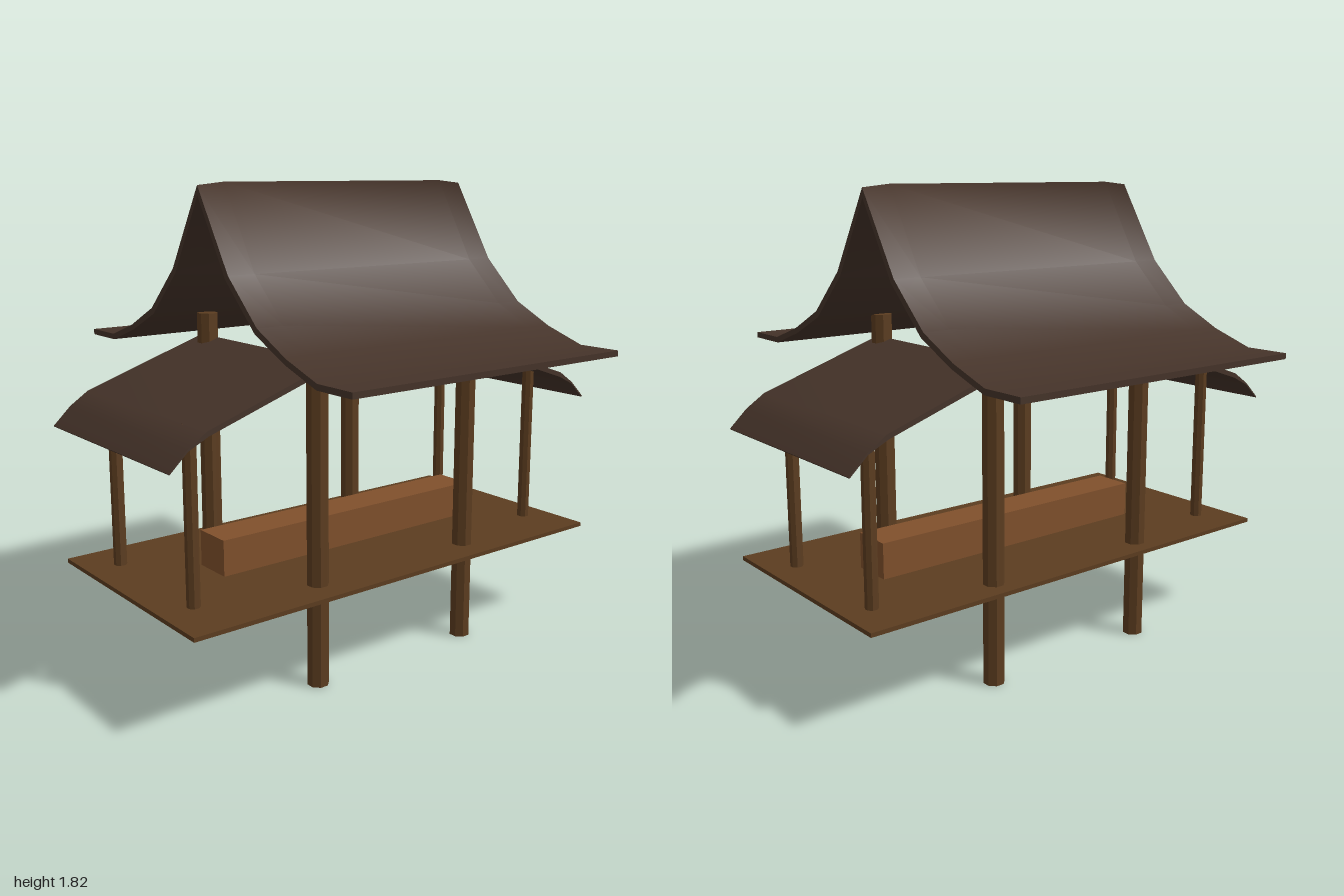
import * as THREE from 'three';
import { mergeGeometries } from 'three/addons/utils/BufferGeometryUtils.js';

// Smooth surface over a grid of points; faces along (row step) x (column step)
function sheet(rows) {
  const m = rows[0].length;
  const index = [];
  for (let i = 0; i < rows.length - 1; i++) {
    for (let j = 0; j < m - 1; j++) {
      const a = i * m + j, b = a + m;
      index.push(a, b, a + 1, b, b + 1, a + 1);
    }
  }
  const g = new THREE.BufferGeometry();
  g.setAttribute('position', new THREE.Float32BufferAttribute(rows.flat(2), 3));
  g.setIndex(index);
  g.computeVertexNormals();
  return g;
}

// Thin slab between a top grid and a bottom grid, with crisp edges
function slab(top, bottom) {
  const n = top.length - 1, m = top[0].length - 1;
  return mergeGeometries([
    sheet(top),
    sheet(bottom.map((row) => [...row].reverse())),
    sheet([bottom[0], top[0]]),
    sheet([top[n], bottom[n]]),
    sheet(top.map((row, i) => [bottom[i][0], row[0]])),
    sheet(top.map((row, i) => [row[m], bottom[i][m]])),
  ]);
}

export function createModel() {
  const model = new THREE.Group();
  model.name = 'openPavilion';

  const roofMat = new THREE.MeshStandardMaterial({ color: 0x453329 });
  roofMat.name = 'darkRoof';
  const woodMat = new THREE.MeshStandardMaterial({ color: 0x5c3d20 });
  woodMat.name = 'brownWood';
  const benchMat = new THREE.MeshStandardMaterial({ color: 0x80502c });
  benchMat.name = 'lightWood';

  function add(name, geometry, material, x = 0, y = 0, z = 0) {
    const mesh = new THREE.Mesh(geometry, material);
    mesh.name = name;
    mesh.position.set(x, y, z);
    model.add(mesh);
    return mesh;
  }

  // Floor and the long bench on it
  add('deck', new THREE.BoxGeometry(1.915, 0.016, 0.94), woodMat, -0.012, 0.382, 0.03);
  add('bench', new THREE.BoxGeometry(1.25, 0.16, 0.16), benchMat, 0.027, 0.45, 0.02);

  // Octagonal posts
  function post(name, x, z, radius, y0, y1) {
    const g = new THREE.CylinderGeometry(radius, radius, y1 - y0, 8).toNonIndexed();
    g.rotateY(Math.PI / 8);
    g.computeVertexNormals();
    add(name, g, woodMat, x, (y0 + y1) / 2, z);
  }
  for (const x of [-0.37, 0.36]) {
    for (const z of [0.372, -0.345]) post('mainPost', x, z, 0.041, 0, 1.31);
  }
  for (const x of [-0.835, 0.83]) {
    for (const z of [0.275, -0.262]) post('sidePost', x, z, 0.025, 0.385, 1.04);
  }

  // Main roof: curved slopes on both sides of a ridge that dips at its ends
  const slopeTop = [[0.86, 1.208], [0.685, 1.208], [0.52, 1.264], [0.356, 1.345], [0.186, 1.507], [0, 1.82]];
  const slopeBottom = [[0.86, 1.186], [0.682, 1.186], [0.512, 1.244], [0.343, 1.324], [0.168, 1.492], [0, 1.785]];
  const bothSides = (half) => [...half, ...half.slice(0, -1).reverse().map(([z, y]) => [-z, y])];
  const stations = [-0.61, -0.5, 0.55, 0.66];
  const roofGrid = (half) => stations.map((x, i) => bothSides(half).map(([z, y]) => {
    const dip = z === 0 && (i === 0 || i === 3) ? 0.011 : 0;
    return [x, y - dip, z];
  }));
  add('mainRoof', slab(roofGrid(slopeTop), roofGrid(slopeBottom)), roofMat);

  // Side roofs: straight slope, then a thin drooping eave
  const sideTop = [[0.345, 1.213], [0.855, 1.042], [0.93, 0.992], [1, 0.925]];
  const sideBottom = [[0.34, 1.193], [0.85, 1.024], [0.927, 0.986], [0.997, 0.921]];
  const sideGrid = (profile) => [-0.425, 0.43].map((z) => profile.map(([x, y]) => [x, y, z]));
  const sideGeometry = slab(sideGrid(sideTop), sideGrid(sideBottom));
  add('leftSideRoof', sideGeometry, roofMat);
  add('rightSideRoof', sideGeometry, roofMat).rotation.y = Math.PI;

  return model;
}
